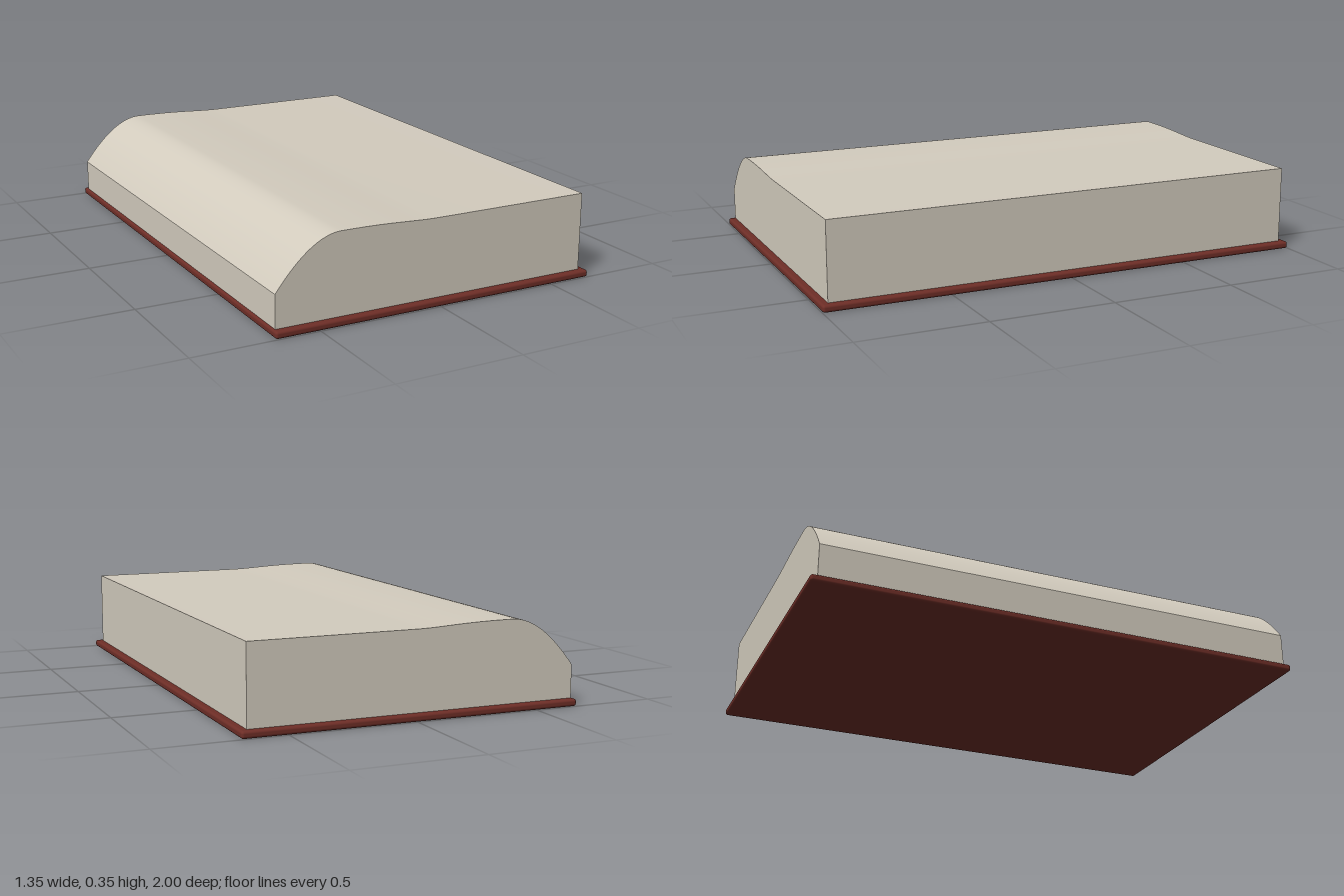
import * as THREE from 'three';
import { RoundedBoxGeometry } from 'three/addons/geometries/RoundedBoxGeometry.js';
import { toCreasedNormals } from 'three/addons/utils/BufferGeometryUtils.js';

export function createModel() {
  const model = new THREE.Group();
  model.name = 'openBookHalf';

  const paper = new THREE.MeshStandardMaterial({ color: 0xd3ccbe });
  paper.name = 'paper';
  const leather = new THREE.MeshStandardMaterial({ color: 0x6e2e27 });
  leather.name = 'redCover';

  // Cover board with softened edges
  const coverHeight = 0.028;
  const cover = new THREE.Mesh(new RoundedBoxGeometry(1.35, coverHeight, 2, 3, 0.01), leather);
  cover.name = 'coverBoard';
  cover.position.y = coverHeight / 2;
  model.add(cover);

  // Page block: cross-section curving down towards the spine
  const spineX = -0.665, foreEdgeX = 0.647, topY = 0.335, depth = 1.945;
  const section = new THREE.Shape();
  section.moveTo(spineX, coverHeight - 0.004);
  section.lineTo(foreEdgeX, coverHeight - 0.004);
  section.lineTo(foreEdgeX, topY);
  section.lineTo(-0.02, topY);
  section.bezierCurveTo(-0.13, 0.337, -0.2, 0.348, -0.405, 0.347);
  section.quadraticCurveTo(-0.525, 0.346, spineX, 0.157);
  section.closePath();

  const block = new THREE.ExtrudeGeometry(section, { depth, bevelEnabled: false, curveSegments: 20 });
  block.translate(0, 0, -depth / 2);
  const pages = new THREE.Mesh(toCreasedNormals(block, 0.4), paper);
  pages.name = 'pageBlock';
  model.add(pages);

  return model;
}
